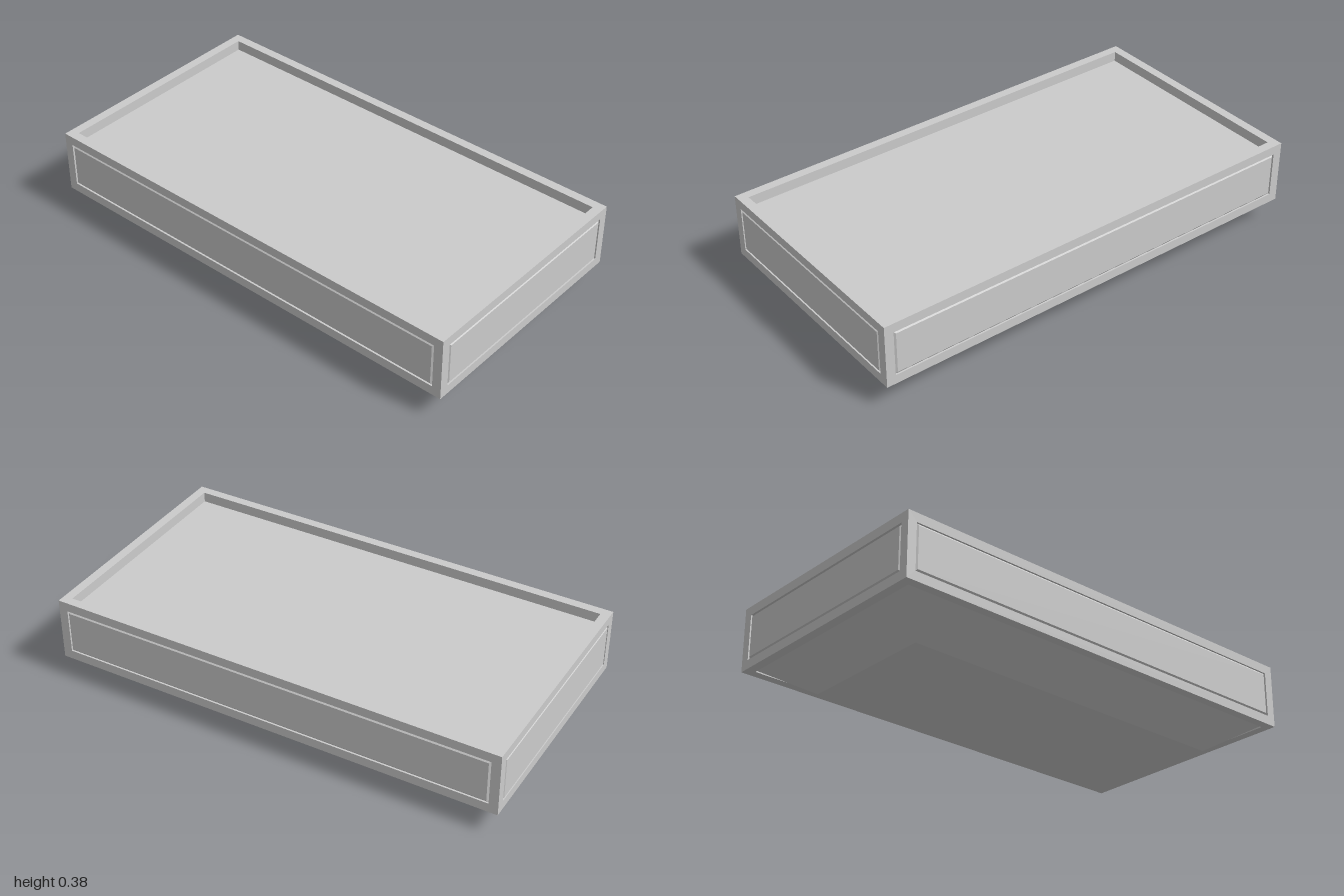
import * as THREE from 'three';

const W = 2, D = 1.056, BOTTOM = 0.104, TOP = 0.384;
const H = TOP - BOTTOM, MID = (TOP + BOTTOM) / 2;
const material = new THREE.MeshStandardMaterial({ color: 0xcccccc, flatShading: true });

// One face of the box: nested rectangles [inset, height] joined by strips and capped.
// Lies in the xy plane, facing +z.
function steppedFace(w, h, steps) {
  const loops = steps.map(([inset, z]) => {
    const x = w / 2 - inset, y = h / 2 - inset;
    return [[-x, -y, z], [x, -y, z], [x, y, z], [-x, y, z]];
  });
  const positions = [];
  const quad = (a, b, c, d) => positions.push(...a, ...b, ...c, ...a, ...c, ...d);
  for (let i = 0; i < loops.length - 1; i++) {
    const outer = loops[i], inner = loops[i + 1];
    for (let k = 0; k < 4; k++) {
      const n = (k + 1) % 4;
      quad(outer[k], outer[n], inner[n], inner[k]);
    }
  }
  quad(...loops[loops.length - 1]);
  const geometry = new THREE.BufferGeometry();
  geometry.setAttribute('position', new THREE.Float32BufferAttribute(positions, 3));
  geometry.computeVertexNormals();
  return geometry;
}

export function createModel() {
  const group = new THREE.Group();
  group.name = 'tray';

  const add = (name, geometry, position, rx = 0, ry = 0) => {
    const mesh = new THREE.Mesh(geometry, material);
    mesh.name = name;
    mesh.position.set(...position);
    mesh.rotation.set(rx, ry, 0);
    group.add(mesh);
  };

  // Side walls: a flat frame, a sunk groove and a bevelled panel
  const panel = (depth) => [[0, 0], [0.04, 0], [0.04, -depth], [0.05, 0]];
  const longWall = steppedFace(W, H, panel(0.008));
  const shortWall = steppedFace(D, H, panel(0.012));
  add('frontWall', longWall, [0, MID, D / 2]);
  add('backWall', longWall, [0, MID, -D / 2], 0, Math.PI);
  add('leftWall', shortWall, [W / 2, MID, 0], 0, Math.PI / 2);
  add('rightWall', shortWall, [-W / 2, MID, 0], 0, -Math.PI / 2);

  // Raised rim around the sunken top
  const topFace = steppedFace(W, D, [[0, 0], [0.04, 0], [0.04, -0.045]]);
  add('topTray', topFace, [0, TOP, 0], -Math.PI / 2);

  // Underside rim, narrow groove and tapered base
  const baseFace = steppedFace(W, D, [[0, 0], [0.04, 0], [0.04, -0.007], [0.22, BOTTOM]]);
  add('taperedBase', baseFace, [0, BOTTOM, 0], Math.PI / 2);

  return group;
}
